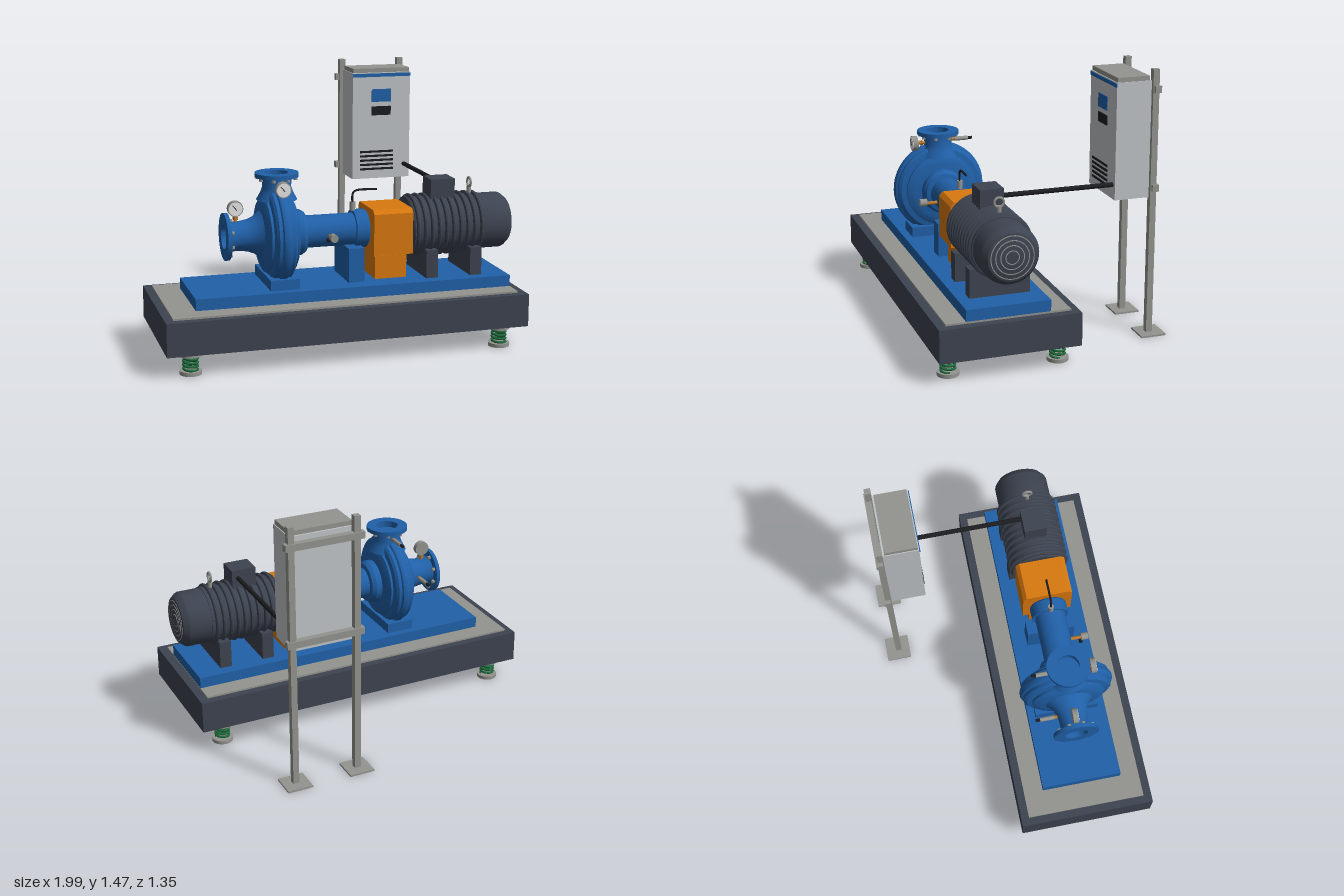
import * as THREE from 'three';
import { toCreasedNormals } from 'three/addons/utils/BufferGeometryUtils.js';

const paint = (name, color) => Object.assign(new THREE.MeshStandardMaterial({ color }), { name });
const blue = paint('pump blue', 0x2060a8);
const dark = paint('motor slate', 0x3d4350);
const concrete = paint('steel grey', 0x93948f);
const light = paint('cabinet grey', 0xc0c4c7);
const orange = paint('guard orange', 0xd9780f);
const black = paint('black', 0x1c1d20);
const green = paint('spring green', 0x1f6b3c);
const brass = paint('brass', 0xb8792c);
const white = paint('dial white', 0xeeeeee);

const AX_Y = 0.64, AX_Z = 0.293; // shaft axis

export function createModel() {
  const root = new THREE.Group();
  root.name = 'pumpSet';

  const add = (name, geo, mat, x = 0, y = 0, z = 0, parent = root) => {
    const m = new THREE.Mesh(geo, mat);
    m.name = name;
    m.position.set(x, y, z);
    parent.add(m);
    return m;
  };
  // box from min/max bounds
  const box = (name, mat, x0, x1, y0, y1, z0, z1) =>
    add(name, new THREE.BoxGeometry(x1 - x0, y1 - y0, z1 - z0), mat, (x0 + x1) / 2, (y0 + y1) / 2, (z0 + z1) / 2);
  // cylinder centred on a point, along 'x', 'y' or 'z'
  const rod = (name, mat, r, len, x, y, z, axis = 'y', sides = 24) => {
    const g = new THREE.CylinderGeometry(r, r, len, sides);
    if (axis === 'x') g.rotateZ(-Math.PI / 2);
    if (axis === 'z') g.rotateX(Math.PI / 2);
    return add(name, g, mat, x, y, z);
  };
  const latheGeo = pts => toCreasedNormals(new THREE.LatheGeometry(pts.map(p => new THREE.Vector2(p[0], p[1])), 48), 0.5);
  // turned part on the shaft axis, points are [radius, x]
  const turned = (name, mat, pts) => add(name, latheGeo(pts).rotateZ(-Math.PI / 2), mat, 0, AX_Y, AX_Z);

  // Foundation block, grout and baseplate
  box('foundationBlock', dark, -1, 0.99, 0.12, 0.3, -0.085, 0.674);
  box('groutBed', concrete, -0.957, 0.943, 0.3, 0.31, -0.041, 0.628);
  box('baseplate', blue, -0.818, 0.942, 0.31, 0.372, 0.068, 0.52);

  // Spring isolators
  const helix = new THREE.CatmullRomCurve3(Array.from({ length: 49 }, (_, i) => {
    const a = (i / 48) * Math.PI * 8;
    return new THREE.Vector3(Math.cos(a) * 0.037, 0.02 + 0.08 * i / 48, Math.sin(a) * 0.037);
  }));
  const coil = new THREE.TubeGeometry(helix, 112, 0.007, 7);
  for (const x of [-0.865, 0.853]) for (const z of [-0.003, 0.592]) {
    rod('isolatorFoot', concrete, 0.058, 0.02, x, 0.01, z);
    rod('isolatorCap', concrete, 0.058, 0.022, x, 0.109, z);
    add('isolatorSpring', coil, green, x, 0, z);
  }

  // Pump casing and suction nozzle
  turned('volute', blue, [
    [0, -0.42], [0.16, -0.42], [0.185, -0.412], [0.205, -0.4], [0.205, -0.387], [0.235, -0.382], [0.25, -0.37],
    [0.25, -0.352], [0.26, -0.346], [0.265, -0.335], [0.265, -0.317], [0.26, -0.306], [0.25, -0.3],
    [0.25, -0.282], [0.235, -0.27], [0.205, -0.265], [0.205, -0.252], [0.185, -0.242], [0.16, -0.235], [0, -0.235]]);
  turned('suctionNozzle', blue, [
    [0, -0.585], [0.065, -0.585], [0.065, -0.618], [0.128, -0.618], [0.128, -0.596], [0.085, -0.596], [0.08, -0.57],
    [0.08, -0.53], [0.087, -0.49], [0.1, -0.455], [0.125, -0.425], [0.14, -0.41]]);
  add('dischargeNozzle', latheGeo([
    [0.11, 0.83], [0.088, 0.87], [0.078, 0.9], [0.08, 0.953], [0.118, 0.953], [0.118, 0.976],
    [0.062, 0.976], [0.062, 0.94], [0, 0.94]]), blue, -0.325, 0, AX_Z);
  box('pumpFoot', blue, -0.405, -0.245, 0.372, 0.428, 0.11, 0.475);
  for (let i = 0; i < 8; i++) {
    const a = (i + 0.5) * Math.PI / 4, c = Math.cos(a) * 0.102, s = Math.sin(a) * 0.102;
    rod('suctionBolt', concrete, 0.011, 0.016, -0.588, AX_Y + s, AX_Z + c, 'x', 6);
    rod('dischargeBolt', concrete, 0.011, 0.016, -0.325 + c, 0.945, AX_Z + s, 'y', 6);
  }

  // Bearing housing and its pedestal
  turned('bearingHousing', blue, [
    [0, -0.24], [0.125, -0.24], [0.125, -0.2], [0.112, -0.178], [0.088, -0.172], [0.088, 0.098], [0.106, 0.098],
    [0.106, 0.165], [0.098, 0.174], [0, 0.174]]);
  turned('shaft', concrete, [[0, 0.17], [0.03, 0.17], [0.03, 0.41], [0, 0.41]]);
  box('bearingPedestal', blue, 0.04, 0.128, 0.372, 0.56, 0.153, 0.427);

  // Oiler on the side of the housing
  rod('oilerStem', brass, 0.01, 0.08, -0.055, 0.628, 0.41, 'z', 12);
  rod('oilerCup', concrete, 0.021, 0.04, -0.055, 0.634, 0.46, 'z');
  rod('oilerKnob', black, 0.01, 0.03, -0.07, 0.62, 0.435, 'x', 12);

  // Temperature probe with bent lead
  rod('probeBody', concrete, 0.016, 0.048, 0.1, 0.766, AX_Z);
  const lead = new THREE.CatmullRomCurve3([[0.1, 0.785], [0.1, 0.825], [0.108, 0.845], [0.128, 0.853], [0.24, 0.853]]
    .map(p => new THREE.Vector3(p[0], p[1], AX_Z)));
  add('probeLead', new THREE.TubeGeometry(lead, 24, 0.006, 8), black);

  // Pressure gauges facing the front
  const gauge = (x, y, z) => {
    rod('gaugeCase', concrete, 0.042, 0.03, x, y, z, 'z', 32);
    rod('gaugeDial', white, 0.037, 0.004, x, y, z + 0.015, 'z', 32);
    const needle = add('gaugeNeedle', new THREE.BoxGeometry(0.004, 0.036, 0.003), black, x - 0.005, y + 0.006, z + 0.018);
    needle.rotation.z = 0.7;
  };
  gauge(-0.553, 0.79, 0.29);
  rod('gaugeStem', brass, 0.009, 0.06, -0.553, 0.735, 0.29, 'y', 12);
  rod('gaugeNut', brass, 0.015, 0.016, -0.553, 0.738, 0.29, 'y', 6);
  gauge(-0.325, 0.907, 0.433);
  rod('gaugeStem', brass, 0.009, 0.08, -0.325, 0.907, 0.39, 'z', 12);
  rod('gaugeNut', brass, 0.015, 0.014, -0.325, 0.907, 0.392, 'z', 6);

  // Transmitters on the rear side of both nozzles
  for (const [x, y, z] of [[-0.325, 0.915, 0.155], [-0.497, AX_Y, 0.15]]) {
    rod('transmitterStem', brass, 0.01, 0.07, x, y, z + 0.055, 'z', 12);
    rod('transmitterBody', concrete, 0.012, 0.08, x, y, z, 'z', 16);
    rod('transmitterPlug', black, 0.009, 0.03, x, y, z - 0.05, 'z', 12);
  }

  // Coupling guard with chamfered upper edges
  const guard = new THREE.Shape([[-0.142, 0.512], [0.142, 0.512], [0.142, 0.74], [0.122, 0.762], [-0.122, 0.762], [-0.142, 0.74]]
    .map(p => new THREE.Vector2(...p)));
  const guardGeo = new THREE.ExtrudeGeometry(guard, { depth: 0.222, bevelEnabled: false }).rotateY(Math.PI / 2);
  add('couplingGuard', guardGeo, orange, 0.18, 0, AX_Z);
  box('guardStand', orange, 0.2, 0.38, 0.372, 0.5, AX_Z - 0.1, AX_Z + 0.1);
  box('guardNeck', orange, 0.215, 0.365, 0.5, 0.512, AX_Z - 0.09, AX_Z + 0.09);

  // Motor: finned frame and fan cowl
  const frame = [[0, 0.403], [0.158, 0.403], [0.165, 0.412]];
  for (let i = 0; i < 10; i++) {
    const x = 0.418 + i * 0.041;
    frame.push([0.16, x], [0.172, x + 0.005], [0.175, x + 0.012], [0.172, x + 0.02], [0.16, x + 0.025]);
  }
  frame.push([0.16, 0.83], [0, 0.83]);
  turned('motorFrame', dark, frame);
  turned('fanCowl', dark, [
    [0, 0.82], [0.155, 0.82], [0.155, 0.95], [0.15, 0.962], [0.128, 0.988], [0.12, 0.991], [0, 0.991]]);
  for (const r of [0.035, 0.062, 0.088, 0.113])
    turned('grilleRing', concrete, [[r - 0.0025, 0.989], [r + 0.0025, 0.989], [r + 0.0025, 0.993], [r - 0.0025, 0.993]]);
  for (const x of [0.475, 0.73]) box('motorFoot', dark, x, x + 0.067, 0.372, 0.527, 0.13, 0.457);
  box('terminalBox', dark, 0.53, 0.67, 0.79, 0.9, 0.229, 0.357);

  // Lifting eye
  rod('eyeShank', concrete, 0.012, 0.05, 0.78, 0.82, AX_Z, 'y', 12);
  add('liftingEye', new THREE.TorusGeometry(0.025, 0.007, 8, 24).rotateY(Math.PI / 2), concrete, 0.78, 0.863, AX_Z);

  // Power cable to the cabinet
  rod('powerCable', black, 0.013, 0.63, 0.635, 0.852, -0.08, 'z', 16);

  // Cabinet posts, foot plates and rails
  for (const x of [0.309, 0.671]) {
    box('cabinetPost', concrete, x - 0.017, x + 0.017, 0.01, 1.467, -0.617, -0.582);
    box('postFoot', concrete, x - 0.071, x + 0.071, 0, 0.01, -0.675, -0.533);
  }
  for (const y of [0.81, 1.343]) box('cabinetRail', concrete, 0.27, 0.705, y, y + 0.037, -0.624, -0.588);

  // Control cabinet
  box('cabinetBody', light, 0.313, 0.668, 0.773, 1.405, -0.582, -0.387);
  box('cabinetRoof', concrete, 0.318, 0.663, 1.405, 1.43, -0.572, -0.393);
  const plate = (name, mat, x0, x1, y0, y1) => box(name, mat, x0, x1, y0, y1, -0.388, -0.382);
  plate('cabinetStripe', blue, 0.313, 0.668, 1.38, 1.4);
  plate('cabinetDisplay', blue, 0.43, 0.548, 1.232, 1.307);
  plate('cabinetKeypad', black, 0.43, 0.548, 1.152, 1.205);
  for (let i = 0; i < 5; i++) plate('ventSlot', black, 0.36, 0.565, 0.824 + i * 0.026, 0.836 + i * 0.026);

  return root;
}
